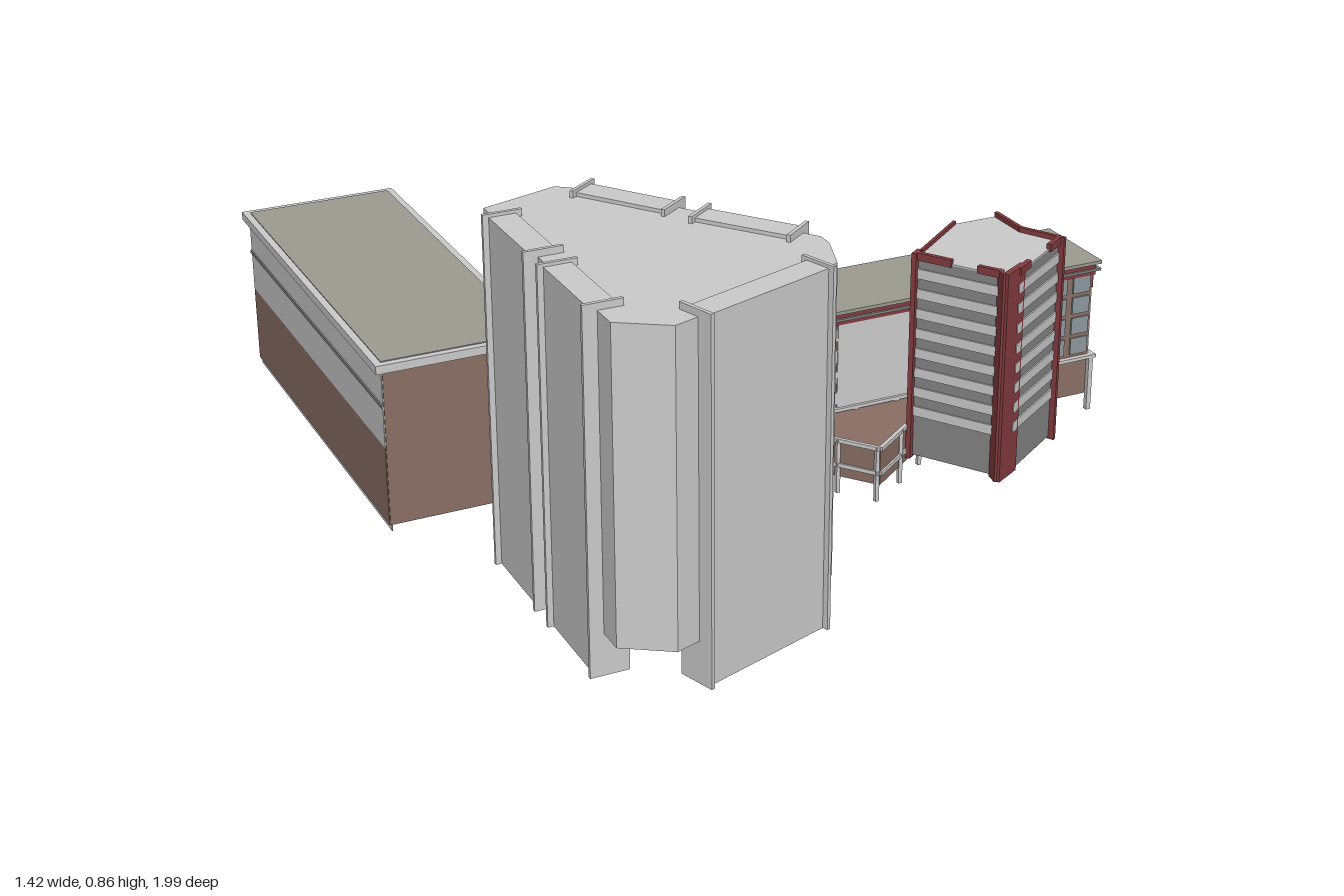
import * as THREE from 'three';

const mats = {};
const mat = (color) => (mats[color] ??= new THREE.MeshStandardMaterial({ color, flatShading: true, side: THREE.DoubleSide }));
const GREY = 0xcccccc, DARK = 0x858585, ROOF = 0x9b9b92, BROWN = 0x896f65, RED = 0x843c40, GLASS = 0x8d989c, WHITE = 0xdedede;

function add(parent, name, geo, color) {
  const m = new THREE.Mesh(geo, mat(color));
  m.name = name;
  parent.add(m);
  return m;
}

// Box given by its minimum and maximum on each axis
function box(parent, name, [x0, x1], [y0, y1], [z0, z1], color) {
  const m = add(parent, name, new THREE.BoxGeometry(x1 - x0, y1 - y0, z1 - z0), color);
  m.position.set((x0 + x1) / 2, (y0 + y1) / 2, (z0 + z1) / 2);
  return m;
}

// Upright prism over a plan outline of [x, z] points
function prism(parent, name, plan, y0, y1, color) {
  const shape = new THREE.Shape(plan.map(([x, z]) => new THREE.Vector2(x, -z)));
  const geo = new THREE.ExtrudeGeometry(shape, { depth: y1 - y0, bevelEnabled: false });
  geo.rotateX(-Math.PI / 2).translate(0, y0, 0);
  return add(parent, name, geo, color);
}

// Upright slab centred on the plan line a-b
function wall(parent, name, a, b, y0, y1, t, color) {
  const dx = b[0] - a[0], dz = b[1] - a[1];
  const m = add(parent, name, new THREE.BoxGeometry(Math.hypot(dx, dz), y1 - y0, t), color);
  m.position.set((a[0] + b[0]) / 2, (y0 + y1) / 2, (a[1] + b[1]) / 2);
  m.rotation.y = -Math.atan2(dz, dx);
  return m;
}

function longHall() {
  const g = new THREE.Group();
  g.name = 'longHall';
  const X = [-0.70, -0.375], Z = [-0.99, -0.09], t = 0.004;
  // Open-bottomed shell: brown ends and plinth, grey upper storeys
  for (const z of Z) box(g, 'endWall', X, [0.015, 0.35], [z - t / 2, z + t / 2], BROWN);
  for (const x of X) {
    box(g, 'plinthWall', [x - t / 2, x + t / 2], [0.015, 0.185], Z, BROWN);
    box(g, 'upperWall', [x - t / 2, x + t / 2], [0.185, 0.35], Z, GREY);
    for (const y of [0.272, 0.348]) box(g, 'storeyLine', [x - 0.005, x + 0.005], [y, y + 0.007], Z, DARK);
  }
  box(g, 'innerLining', [X[0] + 0.003, X[0] + 0.005], [0, 0.35], Z, GREY);
  box(g, 'roofSlab', [-0.715, -0.365], [0.35, 0.368], [-1, -0.08], GREY);
  box(g, 'roofCovering', [-0.70, -0.38], [0.368, 0.37], [-0.985, -0.095], ROOF);
  // Two rows of windows
  for (const y of [0.205, 0.28])
    for (let i = 0; i < 11; i++) {
      const z = -0.096 - i * 0.0807;
      box(g, 'window', [-0.374, -0.370], [y, y + 0.058], [z - 0.06, z], GLASS);
    }
  return g;
}

function tallTower() {
  const g = new THREE.Group();
  g.name = 'tallTower';
  prism(g, 'towerBody', [[-0.65, 0.38], [-0.5, 0.335], [-0.45, 0.375], [-0.19, 0.75], [-0.19, 0.78],
    [-0.22, 0.865], [-0.565, 0.98], [-0.65, 0.925]], 0.265, 0.845, GREY);
  // Projecting facades, each between two full-height fins
  const facades = [
    [[-0.64, 0.44], [-0.64, 0.625]], [[-0.64, 0.685], [-0.64, 0.87]],
    [[-0.466, 0.38], [-0.36, 0.53]], [[-0.333, 0.58], [-0.222, 0.728]],
    [[-0.518, 0.957], [-0.257, 0.87]],
  ];
  for (const [a, b] of facades) {
    wall(g, 'facadePanel', a, b, 0.185, 0.852, 0.05, GREY);
    const dx = b[0] - a[0], dz = b[1] - a[1], l = Math.hypot(dx, dz);
    const n = [-dz / l * 0.036, dx / l * 0.036];
    for (const p of [a, b])
      wall(g, 'fin', [p[0] - n[0], p[1] - n[1]], [p[0] + n[0], p[1] + n[1]], 0.185, 0.858, 0.007, GREY);
  }
  return g;
}

function slabBlock() {
  const g = new THREE.Group();
  g.name = 'slabBlock';
  box(g, 'slabBody', [-0.035, 0.69], [0.175, 0.44], [0.105, 0.275], BROWN);
  box(g, 'topBand', [-0.04, 0.695], [0.44, 0.464], [0.1, 0.28], RED);
  box(g, 'roof', [-0.05, 0.705], [0.464, 0.471], [0.09, 0.286], ROOF);
  box(g, 'cornice', [-0.045, 0.705], [0.449, 0.454], [0.093, 0.285], DARK);
  box(g, 'sillLedge', [-0.05, 0.705], [0.256, 0.263], [0.092, 0.285], GREY);
  box(g, 'sideCanopy', [-0.085, -0.03], [0.196, 0.204], [0.1, 0.24], BROWN);
  // Short posts carry the block along both long sides
  for (let i = 0; i < 9; i++) {
    const x = -0.037 + i * 0.0913;
    box(g, 'backPost', [x - 0.005, x + 0.005], [0.14, 0.26], [0.097, 0.107], GREY);
    box(g, 'frontPost', [x - 0.005, x + 0.005], [0.14, 0.26], [0.275, 0.285], GREY);
  }
  // Pale end walls with windows
  for (const [x, s] of [[0.69, 1], [-0.035, -1]]) {
    const skin = (d) => [Math.min(x, x + s * d), Math.max(x, x + s * d)];
    box(g, 'endWall', skin(0.003), [0.263, 0.41], [0.107, 0.273], WHITE);
    box(g, 'endBand', skin(0.004), [0.41, 0.44], [0.105, 0.275], RED);
    box(g, 'endBase', skin(0.003), [0.2, 0.225], [0.107, 0.273], WHITE);
    for (let r = 0; r < 4; r++) {
      const y = 0.27 + r * 0.045;
      for (const z of [0.118, 0.165]) box(g, 'endWindow', skin(0.006), [y, y + 0.035], [z, z + 0.038], GLASS);
      box(g, 'endSlot', skin(0.006), [y + 0.006, y + 0.03], [0.235, 0.248], BROWN);
    }
  }
  // Front windows and the pale wall beside the stair tower
  box(g, 'paleWall', [0.105, 0.3], [0.26, 0.44], [0.274, 0.279], WHITE);
  for (let r = 0; r < 4; r++) {
    const y = 0.27 + r * 0.045;
    for (const x of [0.59, 0.645]) box(g, 'frontWindow', [x, x + 0.04], [y, y + 0.036], [0.272, 0.279], GLASS);
    for (const x of [-0.035, 0.095]) box(g, 'frontSlot', [x, x + 0.012], [y, y + 0.025], [0.272, 0.278], WHITE);
  }
  // Back windows: plain at the ends, framed and staggered between
  for (let r = 0; r < 3; r++)
    for (let c = 0; c < 12; c++) {
      const x = -0.02 + c * 0.059, framed = c > 1 && c < 10;
      const y = 0.275 + r * 0.055 + (framed && c % 2 ? 0.012 : 0);
      if (framed) {
        box(g, 'windowFrame', [x, x + 0.046], [y - 0.004, y + 0.042], [0.1, 0.106], (r + c) % 3 ? WHITE : RED);
        box(g, 'backWindow', [x + 0.01, x + 0.036], [y + 0.006, y + 0.032], [0.098, 0.106], (r + c) % 3 ? RED : GLASS);
      } else box(g, 'backWindow', [x, x + 0.044], [y, y + 0.04], [0.1, 0.106], GLASS);
    }
  return g;
}

function entranceHall() {
  const g = new THREE.Group();
  g.name = 'entranceHall';
  const a = [-0.03, 0.28], b = [0.105, 0.455], c = [0.35, 0.28];
  prism(g, 'hallBody', [a, b, c], 0.175, 0.254, BROWN);
  // Pale rails and mullions on the glazed sides
  for (const [p, q] of [[a, b], [b, c]]) {
    for (const y of [0.196, 0.248]) wall(g, 'rail', p, q, y, y + 0.008, 0.008, GREY);
    for (const t of [0.3, 0.6, 0.97]) {
      const x = p[0] + (q[0] - p[0]) * t, z = p[1] + (q[1] - p[1]) * t;
      box(g, 'mullion', [x - 0.004, x + 0.004], [0.14, 0.254], [z - 0.004, z + 0.004], GREY);
    }
  }
  return g;
}

function stairTower() {
  const g = new THREE.Group();
  g.name = 'stairTower';
  const A = [0.21, 0.39], B = [0.308, 0.54], C = [0.342, 0.54], D = [0.495, 0.44], E = [0.455, 0.365], F = [0.455, 0.275], H = [0.36, 0.275];
  prism(g, 'stairBody', [A, B, C, D, E, F, H], 0.19, 0.602, DARK);
  prism(g, 'stairRoof', [A, B, C, D, E, F, H], 0.602, 0.605, GREY);
  // Pale floor stripes on the two glazed faces
  for (const [p, q] of [[A, B], [C, D]])
    for (let i = 0; i < 8; i++) wall(g, 'floorStripe', p, q, 0.275 + i * 0.041, 0.295 + i * 0.041, 0.006, GREY);
  // Red corner fins, side walls and parapets
  wall(g, 'cornerFin', [0.2, 0.395], [0.222, 0.38], 0.185, 0.615, 0.01, RED);
  wall(g, 'cornerFin', [0.303, 0.557], [0.36, 0.525], 0.185, 0.615, 0.012, RED);
  wall(g, 'cornerFin', [0.302, 0.557], [0.306, 0.53], 0.185, 0.615, 0.008, RED);
  wall(g, 'sideWall', [0.502, 0.45], E, 0.185, 0.615, 0.008, RED);
  wall(g, 'sideWall', E, F, 0.185, 0.615, 0.008, RED);
  wall(g, 'sideStrip', [0.46, 0.325], [0.46, 0.36], 0.19, 0.605, 0.004, GREY);
  wall(g, 'backWall', A, H, 0.185, 0.612, 0.006, RED);
  for (const [p, q] of [[[0.21, 0.39], [0.25, 0.452]], [[0.28, 0.497], B], [C, [0.38, 0.515]], [[0.455, 0.466], D]])
    wall(g, 'parapet', p, q, 0.6, 0.615, 0.01, RED);
  return g;
}

export function createModel() {
  const model = new THREE.Group();
  model.name = 'buildingGroup';
  model.add(longHall(), tallTower(), slabBlock(), entranceHall(), stairTower());
  return model;
}
